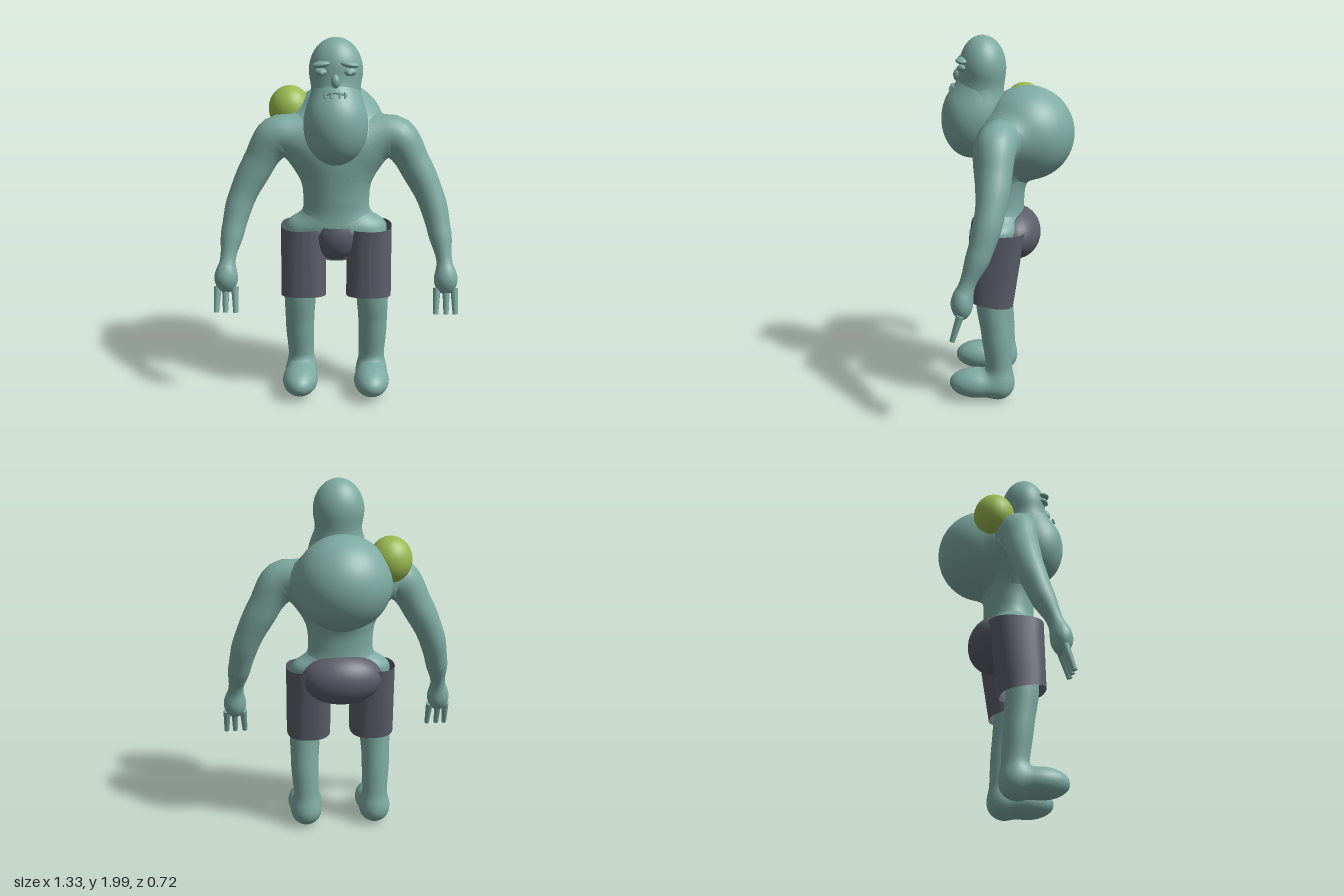
import * as THREE from 'three';
import { mergeVertices } from 'three/addons/utils/BufferGeometryUtils.js';

const skin = new THREE.MeshStandardMaterial({ color: 0x7daaa1 });
skin.name = 'skin';
const cloth = new THREE.MeshStandardMaterial({ color: 0x5b5e69, side: THREE.DoubleSide });
cloth.name = 'shortsCloth';
const lime = new THREE.MeshStandardMaterial({ color: 0x98b94f });
lime.name = 'lime';

const V = (x, y, z) => new THREE.Vector3(x, y, z);

// Ellipsoid lump with its distance rule; k is the blend width
function lump(name, c, r, k = 0.06) {
  const geo = new THREE.SphereGeometry(1, 40, 28).scale(...r).translate(...c);
  const dist = (p) => {
    const x = (p.x - c[0]) / r[0], y = (p.y - c[1]) / r[1], z = (p.z - c[2]) / r[2];
    const k0 = Math.hypot(x, y, z);
    const k1 = Math.hypot(x / r[0], y / r[1], z / r[2]);
    return k1 < 1e-6 ? -Math.min(...r) : (k0 * (k0 - 1)) / k1;
  };
  return { name, geo, dist, k };
}

// Tapered limb through [x, y, z, radius] points
function limb(name, pts, k) {
  const path = new THREE.CatmullRomCurve3(pts.map((p) => V(p[0], p[1], p[2])));
  const radii = pts.map((p) => p[3]);
  const radiusAt = (t) => {
    const f = Math.min(t, 0.99999) * (radii.length - 1), i = Math.floor(f);
    return THREE.MathUtils.lerp(radii[i], radii[i + 1], THREE.MathUtils.smoothstep(f - i, 0, 1));
  };
  const segs = 40, sides = 22;
  const geo = new THREE.TubeGeometry(path, segs, 1, sides);
  const pos = geo.attributes.position, p = V(0, 0, 0);
  for (let i = 0; i < pos.count; i++) {
    const u = Math.floor(i / (sides + 1)) / segs;
    const c = path.getPointAt(u), r = radiusAt(path.getUtoTmapping(u));
    p.fromBufferAttribute(pos, i).sub(c).multiplyScalar(r).add(c);
    pos.setXYZ(i, p.x, p.y, p.z);
  }
  const nodes = [];
  for (let i = 0; i <= 20; i++) nodes.push({ p: path.getPoint(i / 20), r: radiusAt(i / 20) });
  const ab = V(0, 0, 0), ap = V(0, 0, 0);
  const dist = (q) => {
    let best = Infinity;
    for (let i = 0; i < 20; i++) {
      const a = nodes[i], b = nodes[i + 1];
      ab.subVectors(b.p, a.p);
      ap.subVectors(q, a.p);
      const h = THREE.MathUtils.clamp(ap.dot(ab) / ab.lengthSq(), 0, 1);
      best = Math.min(best, ap.addScaledVector(ab, -h).length() - (a.r + (b.r - a.r) * h));
    }
    return best;
  };
  return { name, geo, dist, k };
}

// Push each part outward to the shared blended surface, so the joints flow together
function blend(parts, groupName) {
  const field = (p) => {
    let d = parts[0].dist(p);
    for (let i = 1; i < parts.length; i++) {
      const e = parts[i].dist(p), k = parts[i].k;
      const h = Math.max(k - Math.abs(d - e), 0) / k;
      d = Math.min(d, e) - h * h * k * 0.25;
    }
    return d;
  };
  const group = new THREE.Group();
  group.name = groupName;
  const p = V(0, 0, 0), n = V(0, 0, 0);
  for (const part of parts) {
    const pos = part.geo.attributes.position, nor = part.geo.attributes.normal;
    for (let i = 0; i < pos.count; i++) {
      p.fromBufferAttribute(pos, i);
      n.fromBufferAttribute(nor, i);
      for (let s = 0; s < 2; s++) p.addScaledVector(n, THREE.MathUtils.clamp(-field(p), 0, 0.02));
      pos.setXYZ(i, p.x, Math.max(p.y, 0), p.z);
    }
    part.geo.deleteAttribute('uv');
    part.geo.deleteAttribute('normal');
    const geo = mergeVertices(part.geo, 1e-5);
    geo.computeVertexNormals();
    const mesh = new THREE.Mesh(geo, skin);
    mesh.name = part.name;
    group.add(mesh);
  }
  return group;
}

function ball(name, c, r, mat, rotZ = 0, thetaStart = 0) {
  const geo = new THREE.SphereGeometry(1, 28, 20, 0, Math.PI * 2, thetaStart, Math.PI - thetaStart);
  const m = new THREE.Mesh(geo.scale(...r), mat);
  m.position.set(...c);
  m.rotation.z = rotZ;
  m.name = name;
  return m;
}

function rod(name, a, b, ra, rb, mat) {
  const dir = b.clone().sub(a);
  const m = new THREE.Mesh(new THREE.CylinderGeometry(rb, ra, dir.length(), 10), mat);
  m.position.copy(a).addScaledVector(dir, 0.5);
  m.quaternion.setFromUnitVectors(V(0, 1, 0), dir.normalize());
  m.name = name;
  return m;
}

// Open trouser leg with rounded-square sections and a slanted hem
function shortsLeg(s) {
  const geo = new THREE.CylinderGeometry(1, 1, 1, 28, 6, true);
  const pos = geo.attributes.position;
  const round = (v) => Math.sign(v) * Math.abs(v) ** 0.8;
  for (let i = 0; i < pos.count; i++) {
    const t = pos.getY(i) + 0.5;
    const x = round(pos.getX(i)), z = round(pos.getZ(i));
    pos.setXYZ(i, s * 0.18 + x * 0.124,
      0.58 + 0.395 * t + z * 0.02 * (1 - t),
      0.085 - 0.035 * t + z * (0.122 + 0.028 * t));
  }
  geo.computeVertexNormals();
  const m = new THREE.Mesh(geo, cloth);
  m.name = 'shortsLeg';
  return m;
}

export function createModel() {
  const model = new THREE.Group();
  model.name = 'hunchback';

  // Torso, hump and limbs
  const body = [
    lump('chest', [0, 1.38, 0.05], [0.25, 0.21, 0.14]),
    lump('hump', [0, 1.48, -0.105], [0.262, 0.255, 0.255], 0.07),
    lump('waist', [0, 1.14, 0.045], [0.18, 0.28, 0.135], 0.08),
    lump('hips', [0, 0.97, 0.045], [0.275, 0.1, 0.138], 0.06),
    lump('pelvis', [0, 0.91, 0.04], [0.19, 0.145, 0.125], 0.03),
  ];
  for (const s of [1, -1]) {
    body.push(
      limb('arm', [[s * 0.16, 1.43, 0.04, 0.1], [s * 0.31, 1.475, 0.045, 0.105], [s * 0.43, 1.3, 0.05, 0.088],
        [s * 0.518, 1.12, 0.075, 0.075], [s * 0.56, 0.96, 0.12, 0.064], [s * 0.585, 0.82, 0.175, 0.042],
        [s * 0.595, 0.72, 0.205, 0.04]], 0.09),
      lump('hand', [s * 0.595, 0.71, 0.205], [0.062, 0.08, 0.052], 0.04),
      limb('leg', [[s * 0.19, 0.88, 0.06, 0.1], [s * 0.2, 0.6, 0.078, 0.088], [s * 0.205, 0.4, 0.058, 0.08],
        [s * 0.2, 0.2, 0.04, 0.072], [s * 0.2, 0.1, 0.04, 0.072]], 0.04),
      lump('heel', [s * 0.2, 0.1, 0.05], [0.085, 0.09, 0.09], 0.04),
      lump('toes', [s * 0.2, 0.1, 0.165], [0.098, 0.083, 0.152], 0.03));
  }
  model.add(blend(body, 'body'));

  // Head with heavy hanging jaw
  model.add(blend([
    lump('skull', [0, 1.83, 0.135], [0.14, 0.17, 0.126]),
    lump('neck', [0, 1.62, 0.12], [0.12, 0.2, 0.1], 0.05),
    lump('jaw', [0, 1.555, 0.2], [0.168, 0.212, 0.16], 0.08),
  ], 'head'));

  // Face
  model.add(ball('nose', [0, 1.79, 0.268], [0.023, 0.035, 0.025], skin));
  for (const s of [1, -1]) {
    model.add(ball('eye', [s * 0.07, 1.835, 0.232], [0.038, 0.022, 0.032], skin));
    model.add(ball('pupil', [s * 0.07, 1.83, 0.258], [0.014, 0.013, 0.01], skin));
    model.add(ball('eyelid', [s * 0.07, 1.873, 0.236], [0.05, 0.017, 0.036], skin, -s * 0.15));
  }
  const lip = new THREE.CatmullRomCurve3([V(-0.06, 1.722, 0.283), V(0, 1.738, 0.297), V(0.06, 1.722, 0.283)]);
  const mouth = new THREE.Mesh(new THREE.TubeGeometry(lip, 16, 0.007, 8), skin);
  mouth.name = 'mouth';
  model.add(mouth);
  for (const x of [-0.052, -0.02, 0.022, 0.05]) {
    model.add(rod('tooth', V(x, 1.738, 0.298), V(x, 1.712, 0.308), 0.008, 0.006, skin));
  }

  // Fingers
  for (const s of [1, -1]) {
    for (const x of [0.548, 0.598, 0.642]) {
      model.add(rod('finger', V(s * x, 0.665, 0.21), V(s * (x + (x - 0.595) * 0.12), 0.53, 0.252), 0.021, 0.014, skin));
    }
  }

  // Shorts: two legs, front panel and seat
  model.add(shortsLeg(1), shortsLeg(-1));
  model.add(ball('shortsFront', [0, 0.935, 0.1], [0.125, 0.145, 0.108], cloth, 0, 1.17));
  model.add(ball('shortsSeat', [0, 0.925, -0.04], [0.225, 0.145, 0.142], cloth));

  // Growth on the hump
  model.add(ball('growth', [-0.255, 1.595, -0.08], [0.116, 0.125, 0.112], lime));
  return model;
}
